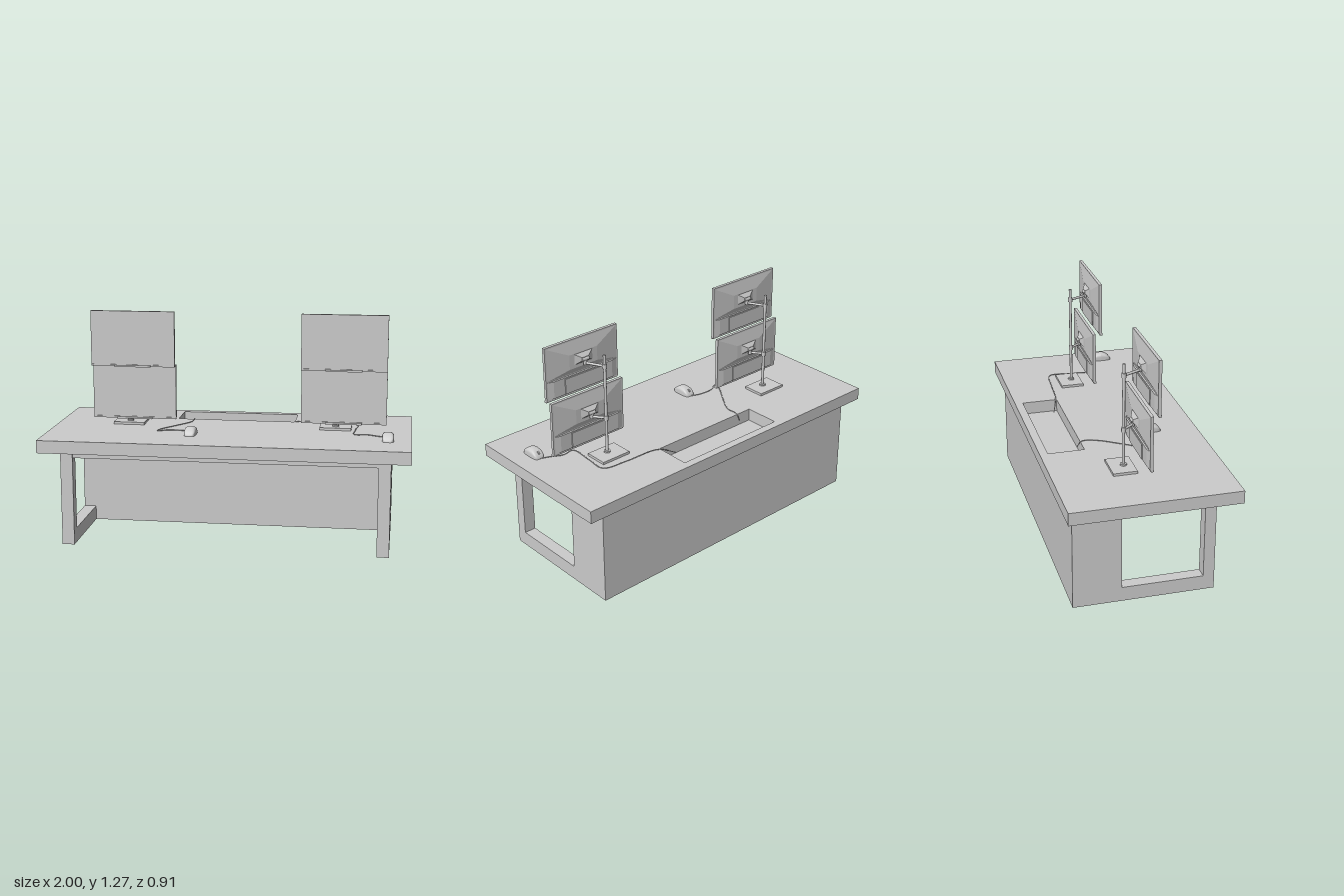
import * as THREE from 'three';

const mat = new THREE.MeshStandardMaterial({ color: 0xcccccc, side: THREE.DoubleSide });
const flat = new THREE.MeshStandardMaterial({ color: 0xcccccc, flatShading: true, side: THREE.DoubleSide });

function add(parent, name, geo, material = mat) {
  const m = new THREE.Mesh(geo, material);
  m.name = name;
  parent.add(m);
  return m;
}

// box given by its min and max on each axis
function box(parent, name, x0, x1, y0, y1, z0, z1) {
  const g = new THREE.BoxGeometry(x1 - x0, y1 - y0, z1 - z0);
  g.translate((x0 + x1) / 2, (y0 + y1) / 2, (z0 + z1) / 2);
  return add(parent, name, g);
}

// block whose back (-z) face shrinks by sx, sy and shifts by dy
function taper(parent, name, w, h, d, sx, sy, dy, y, zFront) {
  const g = new THREE.BoxGeometry(w, h, d);
  const p = g.attributes.position;
  for (let i = 0; i < p.count; i++) {
    if (p.getZ(i) < 0) p.setXY(i, p.getX(i) * sx, p.getY(i) * sy + dy);
  }
  g.translate(0, y, zFront - d / 2);
  return add(parent, name, g, flat);
}

// round bar between two points
function rod(parent, name, a, b, r, sides = 16) {
  const curve = new THREE.LineCurve3(new THREE.Vector3(...a), new THREE.Vector3(...b));
  const len = curve.getLength();
  const m = add(parent, name, new THREE.CylinderGeometry(r, r, len, sides));
  m.position.copy(curve.getPoint(0.5));
  m.quaternion.setFromUnitVectors(new THREE.Vector3(0, 1, 0), curve.getTangent(0));
  return m;
}

function rect(x0, x1, y0, y1, Type = THREE.Shape) {
  return new Type([[x0, y0], [x1, y0], [x1, y1], [x0, y1]].map(p => new THREE.Vector2(...p)));
}

function makeDesk() {
  const desk = new THREE.Group();
  desk.name = 'desk';
  // top with a cable tray cut through it
  const s = rect(-1, 1, -0.455, 0.455);
  s.holes.push(rect(-0.34, 0.335, 0.21, 0.41, THREE.Path));
  const g = new THREE.ExtrudeGeometry(s, { depth: 0.07, bevelEnabled: false });
  g.rotateX(-Math.PI / 2).translate(0, 0.54, 0);
  add(desk, 'deskTop', g);
  // closed cabinet along the back, its top being the tray floor
  box(desk, 'rearCabinet', -0.9, 0.895, 0, 0.54, -0.415, -0.155);
  box(desk, 'underPanel', -0.832, 0.828, 0.492, 0.54, -0.155, 0.343);
  // open leg frames at both ends
  for (const [x0, x1] of [[-0.9, -0.832], [0.828, 0.895]]) {
    const frame = new THREE.Group();
    frame.name = 'legFrame';
    box(frame, 'frontPost', x0, x1, 0, 0.54, 0.285, 0.345);
    box(frame, 'floorRail', x0, x1, 0, 0.08, -0.155, 0.285);
    box(frame, 'topRail', x0, x1, 0.49, 0.54, -0.155, 0.285);
    desk.add(frame);
  }
  return desk;
}

// screen with origin at bottom centre of its front face
function makeMonitor() {
  const m = new THREE.Group();
  m.name = 'monitor';
  box(m, 'panel', -0.235, 0.235, 0.008, 0.308, -0.017, 0);
  box(m, 'chin', -0.235, 0.235, 0, 0.01, -0.012, 0.004);
  box(m, 'chinLip', -0.1, 0.1, -0.002, 0.008, -0.01, 0.013);
  taper(m, 'backShell', 0.45, 0.18, 0.013, 0.4, 0.45, -0.02, 0.21, -0.017);
  taper(m, 'lowerShell', 0.45, 0.1, 0.007, 0.85, 0.95, 0, 0.064, -0.017);
  box(m, 'connectorCover', -0.12, 0.12, 0.02, 0.105, -0.029, -0.02);
  taper(m, 'mountPlate', 0.12, 0.06, 0.018, 0.35, 0.3, -0.003, 0.197, -0.029);
  return m;
}

function makeMonitorStand(cx) {
  const st = new THREE.Group();
  st.name = 'monitorStand';
  const px = cx - 0.048, pz = -0.065;
  box(st, 'base', px - 0.088, px + 0.088, 0.61, 0.624, -0.142, -0.012);
  rod(st, 'poleCollar', [px, 0.62, pz], [px, 0.632, pz], 0.018, 24);
  rod(st, 'pole', [px, 0.62, pz], [px, 1.19, pz], 0.008);
  for (const [y, z] of [[0.66, 0.04], [0.96, 0.077]]) {
    const mon = makeMonitor();
    mon.position.set(cx, y, z);
    st.add(mon);
    // clamp, arm and swivel joint
    const ay = y + 0.167, jz = z - 0.043;
    rod(st, 'poleClamp', [px, ay - 0.013, pz], [px, ay + 0.013, pz], 0.012);
    rod(st, 'arm', [px, ay, pz], [cx, ay, jz], 0.007);
    rod(st, 'armPivot', [cx, ay - 0.009, jz], [cx, ay + 0.022, jz], 0.01);
    rod(st, 'tiltJoint', [cx - 0.022, ay + 0.023, jz], [cx + 0.022, ay + 0.023, jz], 0.011);
  }
  return st;
}

function makeMouse(x) {
  const grp = new THREE.Group();
  grp.name = 'mouse';
  // domed body: half ellipsoid squared off in plan, highest in the middle
  const g = new THREE.SphereGeometry(1, 32, 12, 0, Math.PI * 2, 0, Math.PI / 2);
  const p = g.attributes.position;
  const sq = v => Math.sign(v) * Math.pow(Math.abs(v), 0.5);
  for (let i = 0; i < p.count; i++) {
    const r = Math.hypot(p.getX(i), p.getZ(i)) || 1;
    const cx = sq(p.getX(i) / r) * r, cz = sq(p.getZ(i) / r) * r;
    const y = Math.sqrt(Math.max(0, 1 - cz * cz)) * Math.pow(Math.max(0, p.getY(i)), 0.35);
    p.setXYZ(i, cx * 0.032, y * 0.044, cz * 0.062);
  }
  g.computeVertexNormals();
  add(grp, 'mouseBody', g);
  const wheel = add(grp, 'scrollWheel', new THREE.CylinderGeometry(0.009, 0.009, 0.008, 16));
  wheel.rotation.z = Math.PI / 2;
  wheel.position.set(0, 0.027, -0.043);
  grp.position.set(x, 0.611, 0.19);
  return grp;
}

function makeCable(points) {
  const curve = new THREE.CatmullRomCurve3(points.map(([x, z, y = 0.612]) => new THREE.Vector3(x, y, z)), false, 'centripetal');
  return new THREE.TubeGeometry(curve, 64, 0.0025, 6);
}

export function createModel() {
  const model = new THREE.Group();
  model.name = 'workstationDesk';
  model.add(makeDesk());
  for (const x of [-0.545, 0.625]) model.add(makeMonitorStand(x));
  for (const x of [-0.203, 0.872]) model.add(makeMouse(x));
  // mouse cables running into the tray
  add(model, 'rightCable', makeCable([[-0.203, 0.13], [-0.26, 0.11], [-0.35, 0.11],
    [-0.4, 0.14], [-0.39, 0.09], [-0.33, 0], [-0.25, -0.13], [-0.245, -0.205], [-0.245, -0.23, 0.58]]));
  add(model, 'leftCable', makeCable([[0.872, 0.13], [0.82, 0.11], [0.76, 0.08],
    [0.69, 0.085], [0.69, -0.05], [0.69, -0.17], [0.55, -0.195], [0.35, -0.213], [0.25, -0.245, 0.57]]));
  return model;
}
